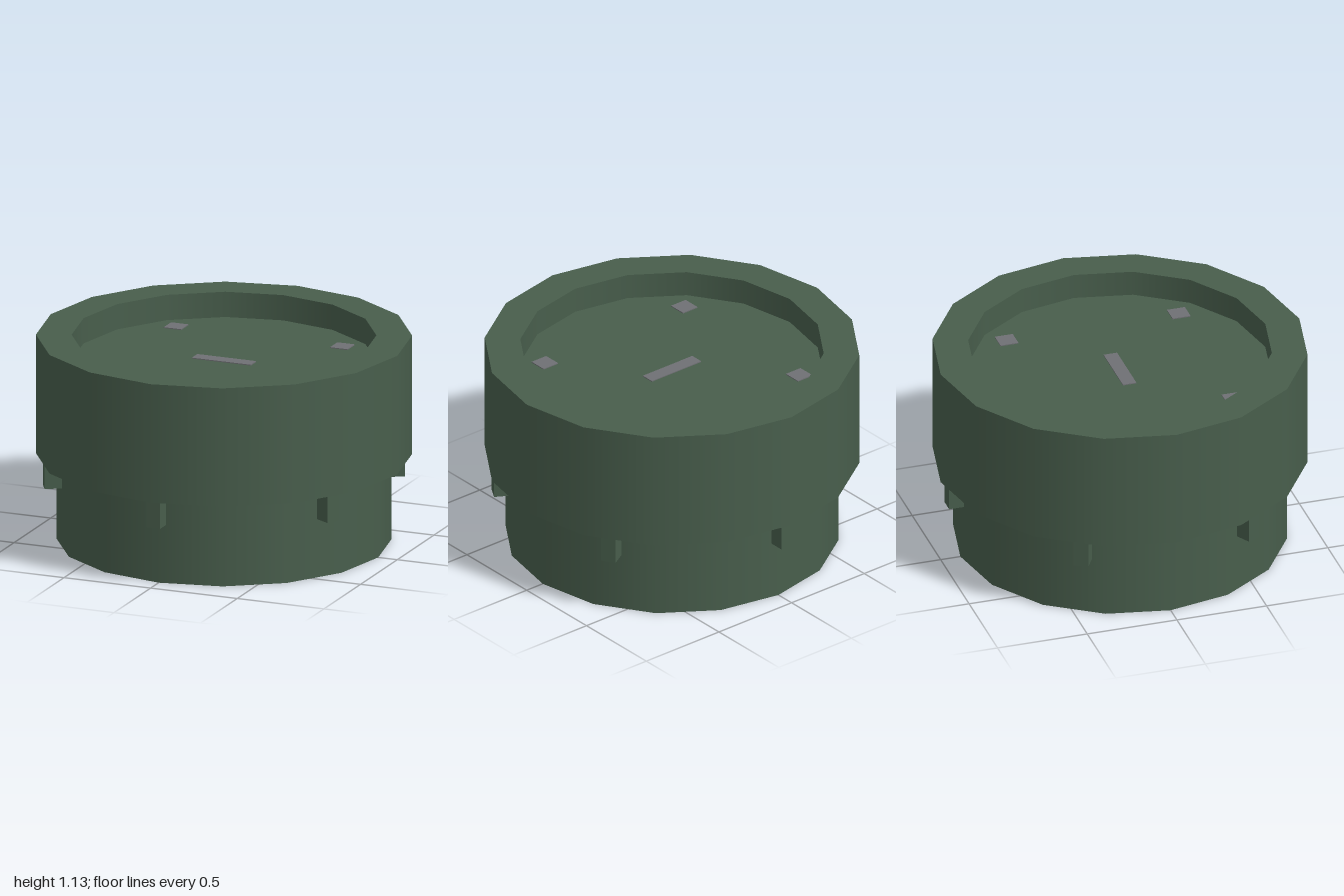
import * as THREE from 'three';

const SIDES = 16;

export function createModel() {
  const model = new THREE.Group();
  model.name = 'drum';

  const green = new THREE.MeshStandardMaterial({ color: 0x485e4c, side: THREE.DoubleSide });
  green.name = 'dull green';
  const grey = new THREE.MeshStandardMaterial({ color: 0x6f7074 });
  grey.name = 'grey';

  function add(name, geometry, material, x = 0, y = 0, z = 0) {
    const mesh = new THREE.Mesh(geometry, material);
    mesh.name = name;
    mesh.position.set(x, y, z);
    model.add(mesh);
    return mesh;
  }

  // Open sixteen-sided wall between two heights
  function wall(name, radius, y0, y1) {
    add(name, new THREE.CylinderGeometry(radius, radius, y1 - y0, SIDES, 1, true), green, 0, (y0 + y1) / 2);
  }

  // Flat ring, facing up (1) or down (-1)
  function ring(name, inner, outer, y, facing) {
    add(name, new THREE.RingGeometry(inner, outer, SIDES).rotateX(-facing * Math.PI / 2), green, 0, y);
  }

  // Hollow shell: narrow base, wide drum, recessed top
  wall('baseWall', 0.89, 0, 0.473);
  ring('stepUnderside', 0.89, 1, 0.473, -1);
  wall('drumWall', 1, 0.473, 1.13);
  ring('topRim', 0.81, 1, 1.13, 1);
  wall('recessWall', 0.81, 0.99, 1.13);
  add('recessFloor', new THREE.CircleGeometry(0.81, SIDES).rotateX(-Math.PI / 2), green, 0, 0.99);

  // Six small lugs below the step, open at the bottom
  const tube = new THREE.CylinderGeometry(Math.SQRT1_2, Math.SQRT1_2, 1, 4, 1, true);
  const lugGeometry = tube.rotateY(Math.PI / 4).scale(0.08, 0.15, 0.095).toNonIndexed();
  lugGeometry.computeVertexNormals();
  for (let i = 0; i < 6; i++) {
    const a = i * Math.PI / 3;
    const lug = add('lug', lugGeometry, green, Math.sin(a) * 0.9175, 0.398, Math.cos(a) * 0.9175);
    lug.rotation.y = a;
  }

  // Thin inlays on the recessed floor
  add('centreBar', new THREE.BoxGeometry(0.34, 0.006, 0.075), grey, 0, 0.992, 0);
  for (const x of [-0.48, 0.48]) {
    for (const z of [-0.48, 0.48]) {
      add('cornerPad', new THREE.BoxGeometry(0.1, 0.006, 0.1), grey, x, 0.992, z);
    }
  }

  return model;
}
